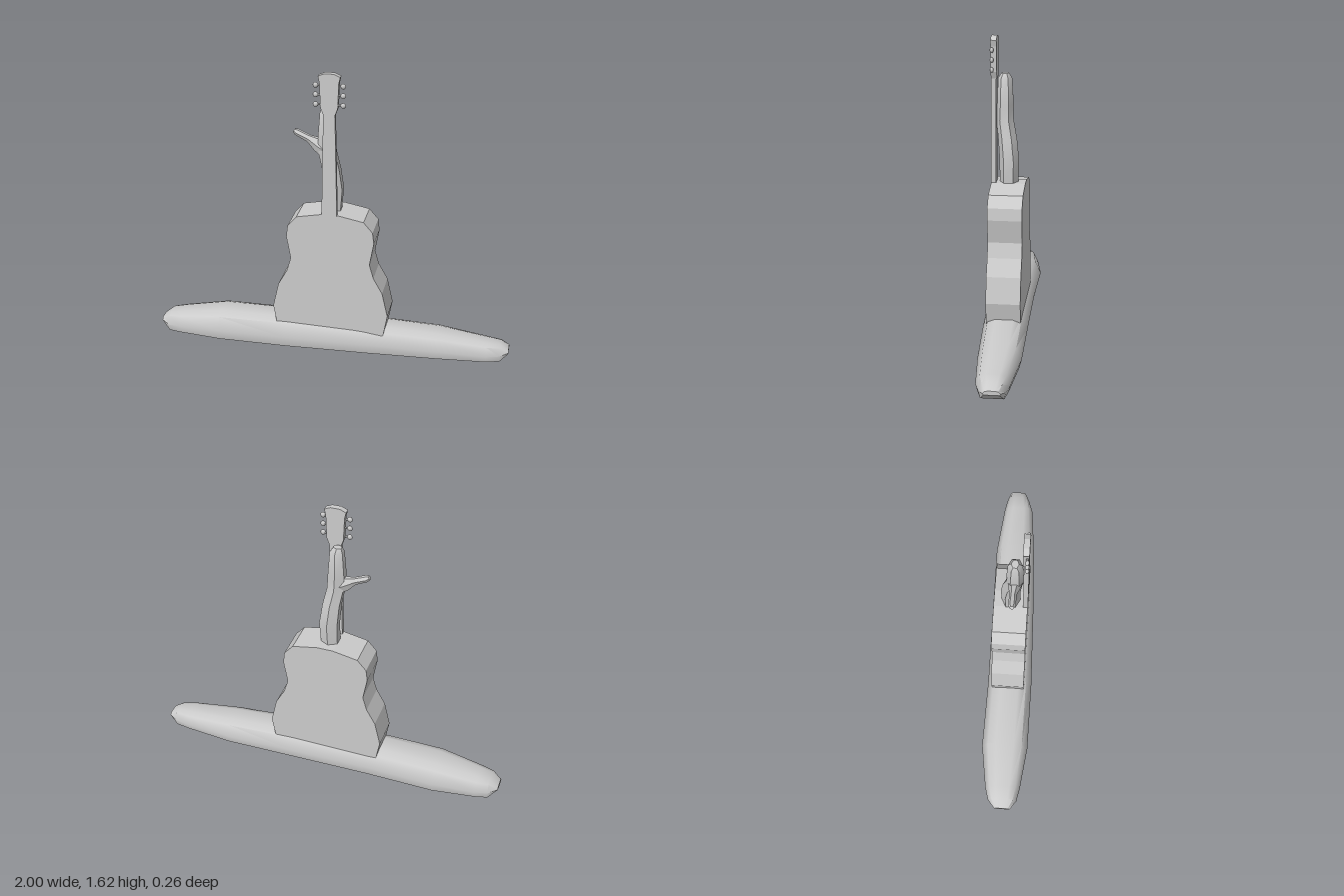
import * as THREE from 'three';
import { toCreasedNormals } from 'three/addons/utils/BufferGeometryUtils.js';

const material = new THREE.MeshStandardMaterial({ color: 0xcccccc });

// Skins a list of closed rings, each running counter-clockwise about the direction of travel
function loft(rings, crease) {
  const n = rings[0].length, last = (rings.length - 1) * n, index = [];
  for (let r = 0; r < rings.length - 1; r++) {
    for (let i = 0; i < n; i++) {
      const a = r * n + i, b = r * n + (i + 1) % n;
      index.push(a, b, b + n, a, b + n, a + n);
    }
  }
  for (let i = 1; i < n - 1; i++) {
    index.push(0, i + 1, i, last, last + i, last + i + 1);
  }
  const geometry = new THREE.BufferGeometry().setFromPoints(rings.flat());
  geometry.setIndex(index);
  return toCreasedNormals(geometry, crease);
}

// Six-sided limb; each station is [x, y, z, radius across, radius in depth]
function limb(stations, direction, crease) {
  const d = new THREE.Vector3(...direction).normalize();
  const depth = new THREE.Vector3(0, 0, 1);
  const across = new THREE.Vector3().crossVectors(d, depth);
  return loft(stations.map(([x, y, z, ra, rd]) => Array.from({ length: 6 }, (_, i) => {
    const t = i * Math.PI / 3;
    return new THREE.Vector3(x, y, z)
      .addScaledVector(depth, rd * Math.cos(t))
      .addScaledVector(across, ra * Math.sin(t));
  })), crease);
}

// Plate from the right half of an outline, mirrored and given depth from z0 to z1
function plate(half, z0, z1, centre = 0) {
  const mirrored = half.map(([x, y]) => [-x, y]).reverse();
  const shape = new THREE.Shape([...half, ...mirrored].map(([x, y]) => new THREE.Vector2(x + centre, y)));
  return new THREE.ExtrudeGeometry(shape, { depth: z1 - z0, bevelEnabled: false }).translate(0, 0, z0);
}

export function createModel() {
  const model = new THREE.Group();
  const add = (name, geometry, parent = model) => {
    const mesh = new THREE.Mesh(geometry, material);
    mesh.name = name;
    parent.add(mesh);
    return mesh;
  };

  // Log base, flat underneath: x, bottom, top, back z, front z
  const logStations = [
    [-1, 0.04, 0.062, -0.04, 0.05],
    [-0.95, 0, 0.1, -0.08, 0.085],
    [-0.88, 0, 0.112, -0.1, 0.1],
    [-0.64, 0, 0.152, -0.135, 0.13],
    [-0.25, 0, 0.157, -0.127, 0.13],
    [0.2, 0, 0.15, -0.131, 0.115],
    [0.6, 0, 0.13, -0.135, 0.095],
    [0.88, 0, 0.097, -0.105, 0.07],
    [0.955, 0, 0.09, -0.09, 0.045],
    [1, 0.04, 0.062, -0.07, 0.02],
  ];
  const logSection = [[0.4, 1], [0.75, 0.87], [1, 0.4], [0.88, 0], [-0.88, 0], [-1, 0.4], [-0.75, 0.87], [-0.4, 1]];
  add('logBase', loft(logStations.map(([x, y0, y1, z0, z1]) => logSection.map(([s, h]) =>
    new THREE.Vector3(x, y0 + (y1 - y0) * h, (z0 + z1) / 2 + s * (z1 - z0) / 2))), 0.75));

  // Guitar
  const guitar = new THREE.Group();
  guitar.name = 'guitar';
  model.add(guitar);
  add('guitarBody', plate([
    [0.295, 0.09], [0.307, 0.14], [0.325, 0.24], [0.293, 0.38], [0.243, 0.47], [0.22, 0.55],
    [0.243, 0.68], [0.235, 0.745], [0.185, 0.803], [0.045, 0.83],
  ], -0.1, 0.086, 0.003), guitar);
  add('neck', plate([[0.042, 0.82], [0.031, 1.42]], 0.06, 0.087), guitar);
  add('headstock', plate([
    [0.031, 1.4], [0.046, 1.44], [0.051, 1.575], [0.059, 1.61], [0.025, 1.625],
  ], 0.055, 0.087), guitar);

  // Tuning pegs, three to a side
  for (const side of [-1, 1]) {
    for (const y of [1.455, 1.508, 1.56]) {
      const shaft = add('pegShaft', new THREE.CylinderGeometry(0.005, 0.005, 0.03, 6), guitar);
      shaft.rotation.z = Math.PI / 2;
      shaft.position.set(side * 0.056, y, 0.076);
      const peg = add('pegKnob', new THREE.SphereGeometry(0.015, 8, 6), guitar);
      peg.scale.z = 0.7;
      peg.position.set(side * 0.073, y, 0.078);
    }
  }

  // Crooked stick behind the neck, with one side branch
  const stick = new THREE.Group();
  stick.name = 'stick';
  model.add(stick);
  add('stickTrunk', limb([
    [0, 0.78, -0.007, 0.055, 0.05],
    [0.002, 0.83, -0.007, 0.054, 0.051],
    [0.007, 0.95, -0.009, 0.058, 0.053],
    [-0.004, 1.07, 0.002, 0.054, 0.051],
    [-0.022, 1.17, 0.018, 0.052, 0.047],
    [-0.026, 1.25, 0.016, 0.052, 0.045],
    [-0.025, 1.395, 0.017, 0.04, 0.038],
    [-0.028, 1.422, 0.016, 0.025, 0.02],
  ], [0, 1, 0], 0.6), stick);
  add('stickBranch', limb([
    [-0.03, 1.185, 0.02, 0.05, 0.04],
    [-0.075, 1.207, 0.015, 0.042, 0.03],
    [-0.125, 1.235, 0.011, 0.021, 0.018],
    [-0.19, 1.266, 0.01, 0.018, 0.021],
    [-0.206, 1.274, 0.01, 0.012, 0.013],
  ], [-0.9, 0.44, 0], 0.6), stick);

  return model;
}
